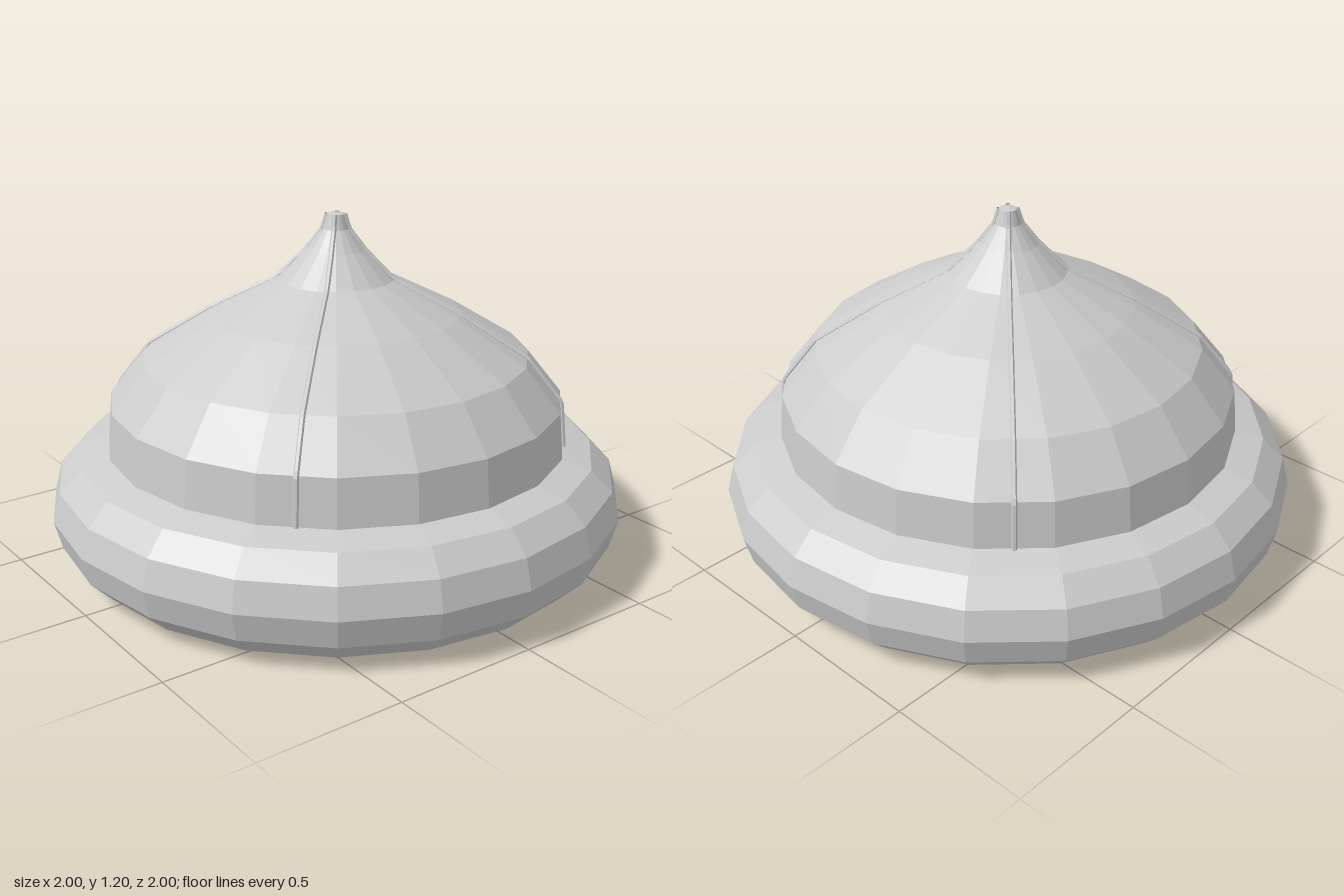
import * as THREE from 'three';

const SIDES = 20;
const material = new THREE.MeshStandardMaterial({
  color: 0xcccccc, flatShading: true, side: THREE.DoubleSide,
});

function addLathe(parent, name, points) {
  const profile = points.map(([r, y]) => new THREE.Vector2(r, y));
  const mesh = new THREE.Mesh(new THREE.LatheGeometry(profile, SIDES), material);
  mesh.name = name;
  parent.add(mesh);
}

export function createModel() {
  const group = new THREE.Group();
  group.name = 'hat';

  // Rolled brim: outer half of a ring, open on the inside
  const brim = [];
  for (let i = 0; i <= 6; i++) {
    const a = -Math.PI / 2 + (i * Math.PI) / 6;
    brim.push([0.8 + 0.2 * Math.cos(a), 0.2 + 0.2 * Math.sin(a)]);
  }
  addLathe(group, 'brim', brim);

  // Onion-shaped crown, hollow underneath
  const crown = [
    [0.8, 0.4], [0.785, 0.56], [0.665, 0.71], [0.43, 0.855],
    [0.2, 0.97], [0.1, 1.07], [0.045, 1.14], [0.03, 1.19],
  ];
  addLathe(group, 'crown', [...crown, [0, 1.195]]);

  // Four thin seams following the crown profile on the diagonals
  const path = new THREE.CurvePath();
  const seamPoints = crown.map(([r, y]) => new THREE.Vector3(r * 0.994, y, 0));
  for (let i = 1; i < seamPoints.length; i++) {
    path.add(new THREE.LineCurve3(seamPoints[i - 1], seamPoints[i]));
  }
  const seamGeometry = new THREE.TubeGeometry(path, 60, 0.009, 6, false);
  for (let i = 0; i < 4; i++) {
    const seam = new THREE.Mesh(seamGeometry, material);
    seam.name = 'seam' + (i + 1);
    seam.rotation.y = Math.PI / 4 + (i * Math.PI) / 2;
    group.add(seam);
  }
  return group;
}
